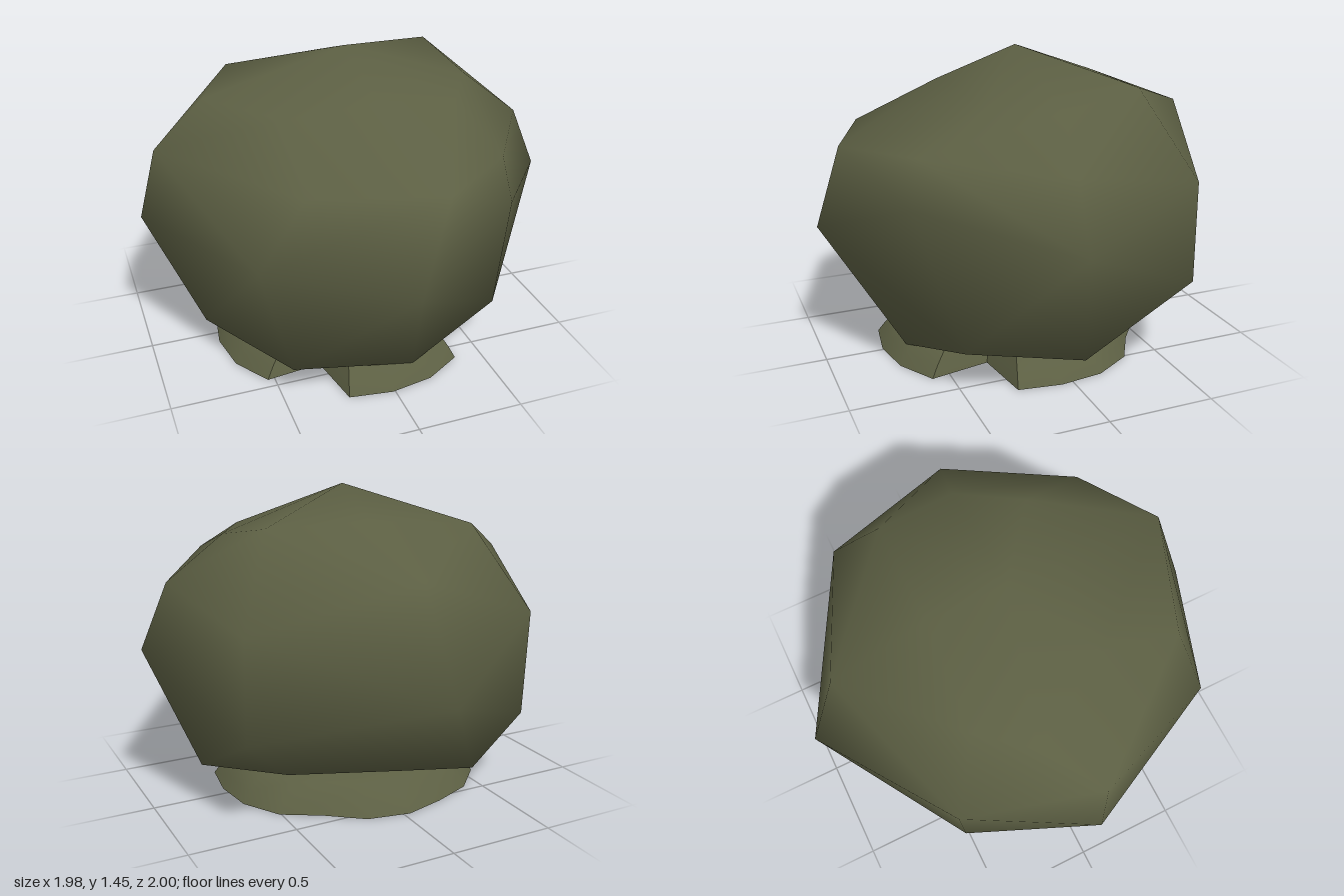
import * as THREE from 'three';
import { toCreasedNormals } from 'three/addons/utils/BufferGeometryUtils.js';

// True when point d lies outside the plane of triangle a, b, c
function isOutside(a, b, c, d) {
  const [pa, pb, pc, pd] = [a, b, c, d].map((p) => new THREE.Vector3(...p));
  const normal = pb.sub(pa).cross(pc.sub(pa));
  return normal.dot(pd.sub(pa)) > 0;
}

// Closed skin over horizontal rings of equal length, listed from bottom to top;
// each quad is split along the diagonal that bulges outward
function loft(rings, bottom, top) {
  const n = rings[0].length;
  const points = [...rings.flat(), bottom, top];
  const index = [];
  const last = (rings.length - 1) * n;
  for (let i = 0; i < n; i++) {
    const j = (i + 1) % n;
    for (let r = 0; r < last; r += n) {
      const [a, b, c, d] = [r + i, r + j, r + n + i, r + n + j];
      if (isOutside(points[a], points[c], points[b], points[d])) index.push(a, c, d, a, d, b);
      else index.push(a, c, b, b, c, d);
    }
    index.push(last + n, i, j);
    index.push(last + n + 1, last + j, last + i);
  }
  const geometry = new THREE.BufferGeometry();
  geometry.setAttribute('position', new THREE.Float32BufferAttribute(points.flat(), 3));
  geometry.setIndex(index);
  geometry.computeVertexNormals();
  return geometry;
}

export function createModel() {
  const group = new THREE.Group();
  group.name = 'bush';
  const foliage = new THREE.MeshStandardMaterial({ color: 0x5c5f43 });
  foliage.name = 'olive foliage';

  // Irregular crown: each ring runs back, right, front, left
  const crownRings = [
    [[0, 0.2, -0.55], [0.5, 0.23, -0.42], [0.76, 0.17, 0], [0.6, 0.22, 0.5],
      [0.12, 0.07, 0.64], [-0.46, 0.18, 0.64], [-0.74, 0.16, 0.1], [-0.42, 0.12, -0.52]],
    [[0, 0.64, -1], [0.74, 0.45, -0.54], [0.99, 0.74, 0.1], [0.54, 0.88, 0.7],
      [-0.01, 0.67, 1], [-0.63, 0.78, 0.76], [-0.99, 0.74, 0.03], [-0.69, 0.36, -0.53]],
    [[0.05, 1.13, -0.81], [0.74, 0.92, -0.54], [0.86, 1.04, 0.1], [0.5, 1.09, 0.66],
      [0.14, 1.08, 0.91], [-0.41, 1.06, 0.71], [-0.91, 1.08, 0.07], [-0.7, 0.87, -0.55]],
    [[0.05, 1.32, -0.33], [0.55, 1.32, -0.33], [0.6, 1.25, 0.05], [0.42, 1.25, 0.34],
      [0.05, 1.27, 0.32], [-0.38, 1.24, 0.3], [-0.64, 1.21, -0.14], [-0.47, 1.28, -0.37]],
  ];
  const crown = new THREE.Mesh(loft(crownRings, [0, 0.11, 0.05], [0, 1.45, 0.03]), foliage);
  crown.name = 'crown';
  group.add(crown);

  // Low flared skirt of leaves with notches between its lobes
  const radii = [0.65, 0.61, 0.66, 0.67, 0.66, 0.66, 0.41, 0.65, 0.66, 0.66,
    0.66, 0.43, 0.64, 0.66, 0.66, 0.66, 0.66, 0.66, 0.64, 0.66];
  const skirtRing = (y, scale) => radii.map((r, i) => {
    const a = (i / radii.length) * Math.PI * 2 + 0.3;
    return [-0.02 + Math.sin(a) * r * scale, y, 0.065 - Math.cos(a) * r * scale];
  });
  const skirtRings = [skirtRing(0, 1), skirtRing(0.05, 0.94), skirtRing(0.12, 0.83)];
  const skirtGeometry = toCreasedNormals(loft(skirtRings, [-0.02, 0, 0.065], [-0.02, 0.13, 0.065]), 0.9);
  const skirt = new THREE.Mesh(skirtGeometry, foliage);
  skirt.name = 'lowerLeaves';
  group.add(skirt);

  return group;
}
